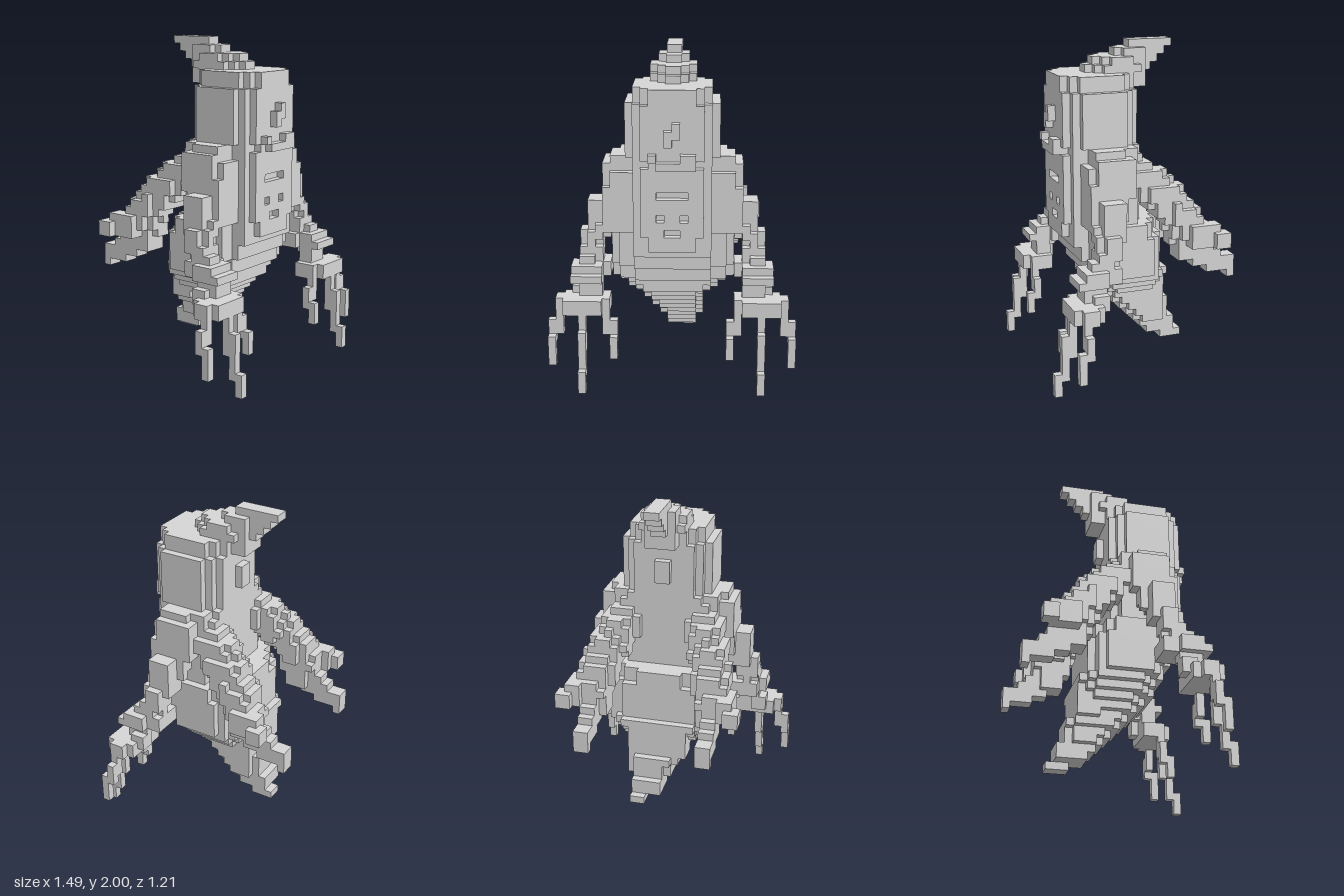
import * as THREE from 'three';

const U = 2 / 43; // edge of one cube

// --- cube-set helpers (cells are addressed by their lower corner) ---
const key = (x, y, z) => `${x},${y},${z}`;

function fill(set, x0, x1, y0, y1, z0, z1, test = () => true) {
  for (let x = x0; x < x1; x++)
    for (let y = y0; y < y1; y++)
      for (let z = z0; z < z1; z++)
        if (test(x + 0.5, y + 0.5, z + 0.5)) set.set(key(x, y, z), [x, y, z]);
}

// One flat layer with a rounded-rectangle outline
function layer(set, y, x0, x1, z0, z1, power) {
  const cx = (x0 + x1) / 2, cz = (z0 + z1) / 2, rx = (x1 - x0) / 2, rz = (z1 - z0) / 2;
  fill(set, x0, x1, y, y + 1, z0, z1, (x, _, z) =>
    Math.abs((x - cx) / rx) ** power + Math.abs((z - cz) / rz) ** power <= 1.05);
}

// Thick line through points [x, y, z, radius]
function limb(set, points) {
  for (let i = 0; i + 1 < points.length; i++) {
    const a = points[i], b = points[i + 1];
    for (let s = 0; s <= 12; s++) {
      const [cx, cy, cz, r] = a.map((v, k) => v + (b[k] - v) * s / 12);
      fill(set, Math.floor(cx - r), Math.ceil(cx + r), Math.floor(cy - r), Math.ceil(cy + r),
        Math.floor(cz - r), Math.ceil(cz + r),
        (x, y, z) => (x - cx) ** 2 + (y - cy) ** 2 + (z - cz) ** 2 <= r * r);
    }
  }
}

const mirror = (set) => {
  const out = new Map();
  for (const [x, y, z] of set.values()) out.set(key(-1 - x, y, z), [-1 - x, y, z]);
  return out;
};

// Turns a cube set into its outer faces
function skin(set) {
  const pos = [], nor = [], idx = [];
  for (const c of set.values())
    for (let axis = 0; axis < 3; axis++)
      for (const dir of [1, -1]) {
        const n = [0, 0, 0];
        n[axis] = dir;
        if (set.has(key(c[0] + n[0], c[1] + n[1], c[2] + n[2]))) continue;
        const u = (axis + 1) % 3, v = (axis + 2) % 3, start = pos.length / 3;
        for (const [i, j] of [[0, 0], [1, 0], [1, 1], [0, 1]]) {
          const p = [...c];
          p[axis] += dir > 0 ? 1 : 0;
          p[u] += i;
          p[v] += j;
          pos.push(p[0] * U, p[1] * U, p[2] * U);
          nor.push(...n);
        }
        const order = dir > 0 ? [0, 1, 2, 0, 2, 3] : [0, 2, 1, 0, 3, 2];
        idx.push(...order.map((k) => start + k));
      }
  const g = new THREE.BufferGeometry();
  g.setAttribute('position', new THREE.Float32BufferAttribute(pos, 3));
  g.setAttribute('normal', new THREE.Float32BufferAttribute(nor, 3));
  g.setIndex(idx);
  return g;
}

export function createModel() {
  const group = new THREE.Group();
  const grey = new THREE.MeshStandardMaterial({ color: 0xd6d6d6 });
  grey.name = 'plain grey';
  const add = (name, set) => {
    const mesh = new THREE.Mesh(skin(set), grey);
    mesh.name = name;
    group.add(mesh);
  };

  // Tapering lower body, bent back into a tail: [x0, x1, z0, z1] from y = 2 up
  const body = new Map();
  const rows = [
    [1, 3, -8, -5], [-1, 3, -7, -3], [-1, 3, -7, -2], [-2, 4, -6, -1], [-2, 4, -6, 0],
    [-3, 4, -6, 1], [-3, 4, -5, 2], [-4, 4, -5, 3], [-5, 5, -5, 4], [-6, 6, -5, 5],
    [-7, 7, -5, 5], [-8, 8, -4, 6], [-8, 8, -4, 6], [-8, 8, -4, 7], [-8, 8, -4, 7],
    [-8, 8, -4, 7], [-8, 8, -3, 7], [-8, 8, -3, 7],
  ];
  rows.forEach((r, i) => layer(body, i + 2, ...r, 2.8));
  // Chest
  for (let y = 20; y < 30; y++) layer(body, y, -7, 7, -1, 7, 3);
  // Raised back panel
  fill(body, -4, 4, 8, 13, -5, -2);
  fill(body, -4, 4, 13, 18, -4, -2);
  fill(body, -3, 3, 18, 20, -4, -2);
  // Belly bulging in two steps, with sunken marks
  fill(body, -5, 5, 17, 30, 5, 8);
  fill(body, -4, 4, 20, 29, 7, 9);
  fill(body, -3, 3, 18, 30, 7, 9);
  const marks = new Map();
  fill(marks, -2, 2, 25, 26, 8, 9);
  fill(marks, -2, -1, 22, 23, 8, 9);
  fill(marks, 1, 2, 22, 23, 8, 9);
  fill(marks, -1, 1, 20, 21, 8, 9);
  for (const k of marks.keys()) body.delete(k);
  add('body', body);

  // Rounded head with nose, mouth and a knob at the back
  const head = new Map();
  for (let y = 29; y < 39; y++) {
    const w = y > 29 && y < 37 ? 6 : 5;
    layer(head, y, -w, w, -1, 9, y < 38 ? 2.9 : 2.4);
  }
  fill(head, -2, 3, 29, 30, 9, 10);
  fill(head, -3, -2, 30, 31, 9, 10);
  fill(head, 1, 3, 30, 31, 9, 10);
  fill(head, -1, 0, 32, 34, 9, 10);
  fill(head, 0, 1, 33, 35, 9, 10);
  fill(head, -1, 1, 32, 35, -2, -1);
  add('head', head);

  // Crest sweeping back to a point
  const crest = new Map();
  fill(crest, -2, 2, 37, 39, -3, 0);
  fill(crest, -3, 3, 39, 40, -2, 3);
  fill(crest, -2, 2, 39, 40, -3, 4);
  fill(crest, -1, 1, 39, 40, -4, 5);
  fill(crest, -3, 3, 40, 41, -1, 2);
  fill(crest, -2, 2, 40, 41, -3, 3);
  fill(crest, -1, 1, 40, 41, -5, 4);
  fill(crest, -2, 2, 41, 42, -3, 0);
  fill(crest, -1, 1, 41, 42, -6, 1);
  fill(crest, -1, 1, 42, 43, -7, -1);
  add('crest', crest);

  // Front arm, broad at the shoulder
  const arm = new Map();
  limb(arm, [[6, 26.3, 3, 2.7], [7, 24.5, 3.8, 2.2], [9.2, 21, 4.6, 1.9],
    [10.5, 18, 5.2, 1.5], [11, 15.1, 7, 1.8], [10.5, 13, 8, 1.2], [10.5, 11, 8, 1]]);
  fill(arm, 6, 8, 26, 30, 2, 6);
  fill(arm, 6, 9, 24, 29, 1, 6);
  fill(arm, 5, 8, 20, 28, 4, 7);
  fill(arm, 8, 9, 20, 26, 3, 7);
  fill(arm, 9, 11, 19, 24, 3, 6);
  fill(arm, 8, 12, 14, 16, 4, 7);
  fill(arm, 9, 13, 14, 16, 6, 9);
  fill(arm, 9, 13, 14, 15, 9, 10);

  // Rounded flat hand with three hanging claws
  const hand = new Map();
  fill(hand, 11, 13, 11, 13, 6, 8);
  fill(hand, 8, 14, 10, 12, 7, 8);
  fill(hand, 8, 15, 10, 12, 8, 10);
  fill(hand, 9, 14, 10, 12, 10, 11);
  fill(hand, 8, 9, 7, 12, 9, 10);
  fill(hand, 7, 8, 6, 9, 9, 10);
  fill(hand, 7, 8, 4, 7, 10, 11);
  fill(hand, 14, 15, 7, 12, 9, 10);
  fill(hand, 15, 16, 6, 9, 9, 10);
  fill(hand, 15, 16, 3, 7, 10, 11);
  fill(hand, 11, 12, 5, 11, 10, 11);
  fill(hand, 11, 12, 2, 8, 11, 12);
  fill(hand, 11, 12, 0, 3, 12, 13);

  // Rear arm trailing back into two blunt fingers
  const rear = new Map();
  limb(rear, [[5.2, 26.4, 0, 2.5], [7, 22.8, -4, 2.5], [8, 18.5, -7, 2.3]]);
  fill(rear, 6, 9, 15, 18, -8, -5);
  fill(rear, 6, 8, 17, 20, -6, -4);
  fill(rear, 7, 9, 14, 17, -10, -7);
  fill(rear, 7, 9, 13, 16, -11, -9);
  fill(rear, 7, 9, 13, 15, -13, -10);
  fill(rear, 7, 9, 12, 13, -13, -12);
  fill(rear, 9, 11, 17, 20, -10, -6);
  fill(rear, 10, 12, 17, 19, -11, -9);

  for (const [name, set] of [['FrontArm', arm], ['Hand', hand], ['RearArm', rear]]) {
    add('left' + name, set);
    add('right' + name, mirror(set));
  }
  return group;
}
